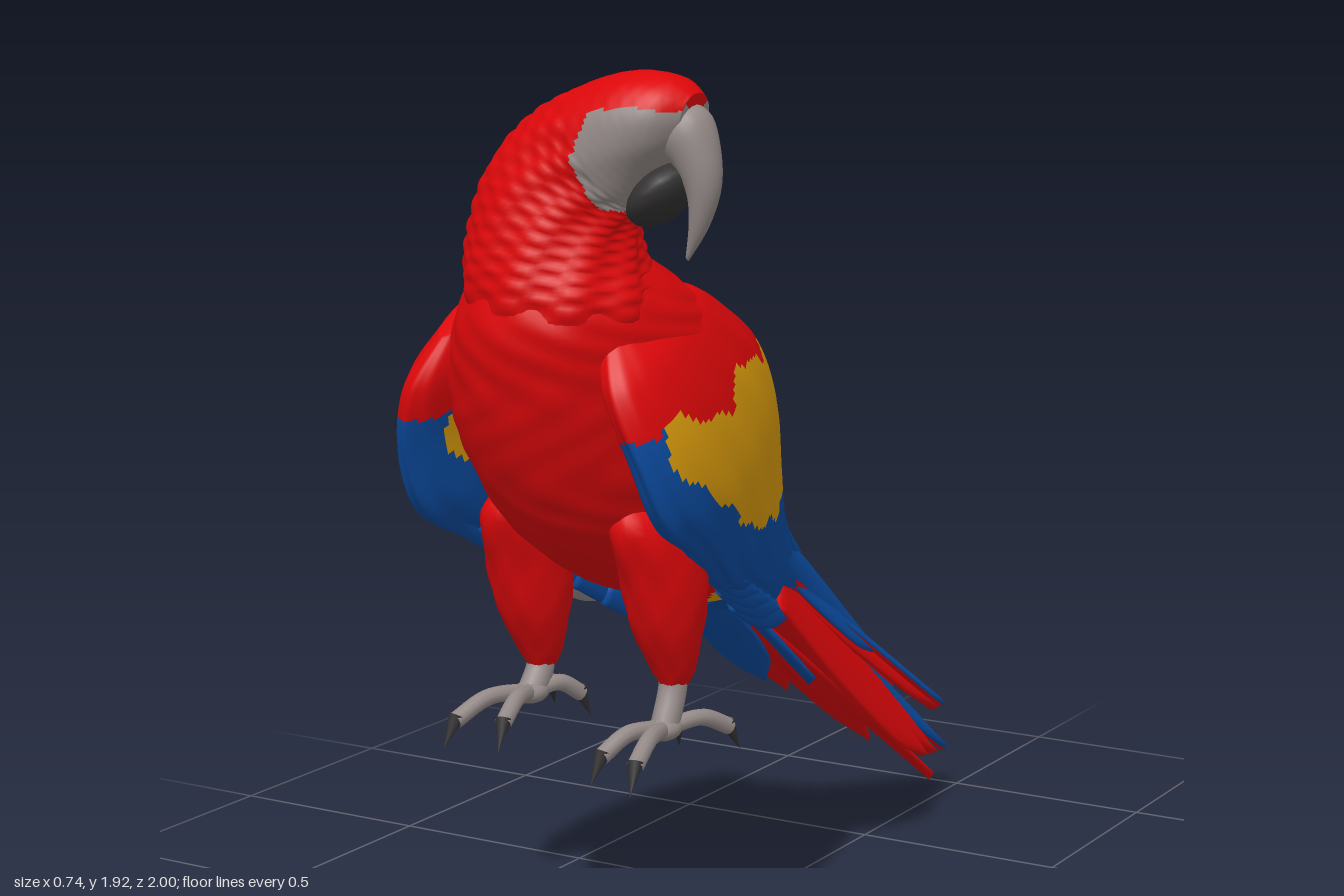
import * as THREE from 'three';

const makeMaterial = (name, color) => Object.assign(new THREE.MeshStandardMaterial({ color }), { name });
const RED = 0, YELLOW = 1, BLUE = 2, GREY = 3, DARK = 4, CRIMSON = 5;

// Smooth wave used for ragged plumage borders
const wave = (a, b) => (Math.sin(a * 37 + b * 23) + Math.sin(a * 19 - b * 41)) / 2;
// Feather colouring with a different upper side and underside
const twoTone = (top, under, reach = 1) => (p, t, q) => (q >= 0.25 && q < 0.75 && t < reach ? top : under);

export function createModel() {
  const mats = [
    makeMaterial('red plumage', 0xdc070a),
    makeMaterial('yellow plumage', 0xd99a0c),
    makeMaterial('blue plumage', 0x0b4b9f),
    makeMaterial('grey skin', 0x948a88),
    makeMaterial('dark horn', 0x343232),
    makeMaterial('crimson feather', 0xb02442),
  ];
  const bird = new THREE.Group();
  bird.name = 'parrot';

  // Loft of elliptical rings. Row: [a1, y1, a2, y2, halfDepth, depthOffset, lean]; the two points
  // span the ring in the zy or xy plane, the depth runs along the remaining axis.
  function loft(name, plane, rows, colour, { rings = 40, sides = 40, bump = () => 0 } = {}) {
    const columns = rows[0].map((_, k) => new THREE.SplineCurve(rows.map((r, i) => new THREE.Vector2(i, r[k]))));
    const pos = [];
    const put = (a, y, d) => (plane === 'zy' ? pos.push(d, y, a) : pos.push(a, y, d));
    const ends = [];
    for (let i = 0; i <= rings; i++) {
      const t = i / rings;
      const [a1, y1, a2, y2, h, o, lean = 0] = columns.map((c) => c.getPoint(t).y);
      for (let j = 0; j < sides; j++) {
        const q = (j / sides) * Math.PI * 2, s = 1 + bump(t, q);
        const c = (Math.cos(q) * s) / 2;
        put((a1 + a2) / 2 + (a1 - a2) * c, (y1 + y2) / 2 + (y1 - y2) * c, o + Math.sin(q) * h * s + lean * 2 * c);
      }
      if (i === 0 || i === rings) ends.push([(a1 + a2) / 2, (y1 + y2) / 2, o]);
    }
    ends.forEach((e) => put(...e));
    const faces = [];
    const last = rings * sides, cap = last + sides;
    for (let j = 0; j < sides; j++) {
      const k = (j + 1) % sides;
      for (let i = 0; i < rings; i++) {
        const p = i * sides, n = p + sides;
        faces.push([p + j, p + k, n + k, n + j]);
      }
      faces.push([cap, k, j], [cap + 1, last + j, last + k]);
    }
    // Signed volume decides which way the faces must turn
    const v = (i) => new THREE.Vector3().fromArray(pos, i * 3);
    let volume = 0;
    const lists = mats.map(() => []);
    for (const f of faces) {
      const pts = f.map(v);
      const mid = pts.reduce((m, p) => m.add(p), new THREE.Vector3()).divideScalar(f.length);
      const list = lists[typeof colour === 'number' ? colour : colour(mid, Math.floor(f[0] / sides) / rings, (f[0] % sides) / sides)];
      for (let i = 1; i + 1 < f.length; i++) {
        volume += pts[0].dot(pts[i].clone().cross(pts[i + 1]));
        list.push([f[0], f[i], f[i + 1]]);
      }
    }
    const geo = new THREE.BufferGeometry();
    geo.setAttribute('position', new THREE.Float32BufferAttribute(pos, 3));
    const index = [], used = [];
    lists.forEach((list, m) => {
      if (!list.length) return;
      geo.addGroup(index.length, list.length * 3, used.length);
      used.push(mats[m]);
      list.forEach(([a, b, c]) => (volume > 0 ? index.push(a, b, c) : index.push(a, c, b)));
    });
    geo.setIndex(index);
    geo.computeVertexNormals();
    const mesh = new THREE.Mesh(geo, used.length > 1 ? used : used[0]);
    mesh.name = name;
    bird.add(mesh);
    return mesh;
  }

  // Tapered blade from base to tip; a positive roll lowers its +x edge
  function feather(name, base, tip, width, roll, colour) {
    const a = new THREE.Vector3(...base), dir = new THREE.Vector3(...tip).sub(a);
    const len = dir.length();
    dir.normalize();
    const flat = new THREE.Vector3(1, 0, 0).addScaledVector(dir, -dir.x).normalize();
    const x = flat.clone().applyAxisAngle(dir, roll), y = dir.clone().cross(x);
    const profile = [0.6, 0.85, 1, 1, 0.92, 0.7, 0.06];
    const rows = profile.map((w, i) => {
      const z = (len * i) / (profile.length - 1);
      return [z, 0.012, z, -0.012, w * width, 0];
    });
    const mesh = loft(name, 'zy', rows, colour, { rings: 20, sides: 12 });
    mesh.geometry.applyMatrix4(new THREE.Matrix4().makeBasis(x, y, dir).setPosition(a));
  }

  // Torso running into the tail core, with the colour bands crossing the back
  const cx = -0.035;
  loft('torso', 'zy', [
    [0.95, 1.53, 0.67, 1.57, 0.15, 0.01], [0.99, 1.42, 0.5, 1.48, 0.22, 0], [0.97, 1.3, 0.38, 1.41, 0.26, -0.02],
    [0.93, 1.18, 0.28, 1.31, 0.275, cx], [0.86, 1.05, 0.18, 1.19, 0.265, cx], [0.76, 0.94, 0.1, 1.06, 0.24, cx],
    [0.58, 0.83, 0.04, 0.95, 0.2, cx], [0.36, 0.76, -0.01, 0.89, 0.165, -0.045], [0.14, 0.69, -0.08, 0.84, 0.135, -0.055],
    [-0.02, 0.63, -0.2, 0.76, 0.11, -0.055], [-0.27, 0.46, -0.4, 0.6, 0.08, -0.045], [-0.5, 0.29, -0.6, 0.43, 0.055, -0.035],
    [-0.66, 0.21, -0.7, 0.3, 0.02, -0.03],
  ], (p, t, q) => {
    if (p.z < -0.05) return p.y < 0.76 + p.z * 0.62 ? RED : BLUE;
    const z = p.z + wave(p.x * 2, p.z) * 0.02;
    const back = q > 0.25 && q < 0.75;
    const edge = back ? 0.32 : 0.29;
    return z > edge ? RED : z > edge - (back ? 0.05 : 0.08) ? YELLOW : BLUE;
  }, {
    rings: 110, sides: 80,
    bump: (t, q) => 0.014 * Math.max(0, 1 - t * 1.4) * Math.sin(q * 11 + 3 * Math.sin(t * 25)) * Math.sin(t * 75),
  });

  // Neck and head turned towards +x, with bare grey cheeks
  loft('head', 'xy', [
    [-0.19, 1.36, 0.2, 1.33, 0.24, 0.73], [-0.19, 1.5, 0.21, 1.45, 0.2, 0.785], [-0.17, 1.61, 0.185, 1.53, 0.17, 0.8],
    [-0.125, 1.73, 0.175, 1.59, 0.145, 0.805], [-0.03, 1.825, 0.185, 1.63, 0.13, 0.8], [0.09, 1.885, 0.2, 1.65, 0.125, 0.8],
    [0.2, 1.91, 0.225, 1.69, 0.118, 0.8], [0.285, 1.9, 0.27, 1.735, 0.095, 0.8], [0.33, 1.87, 0.31, 1.78, 0.05, 0.8],
  ], (p) => {
    const y = p.y + wave(p.x, p.z) * 0.006;
    return p.x > 0.12 + Math.abs(y - 1.75) * 0.35 && y > 1.645 && y < 1.84 ? GREY : RED;
  }, {
    rings: 110, sides: 80,
    bump: (t, q) => (t < 0.6 ? 0.035 : 0.006) * Math.sin(q * 10 + Math.floor(t * 22) * 2.4) * Math.sin(t * 69),
  });

  // Hooked upper beak and broad dark lower beak
  loft('upperBeak', 'xy', [
    [0.29, 1.86, 0.25, 1.74, 0.06, 0.8], [0.345, 1.835, 0.275, 1.735, 0.057, 0.8], [0.37, 1.765, 0.29, 1.715, 0.047, 0.8],
    [0.373, 1.69, 0.308, 1.675, 0.035, 0.8], [0.347, 1.615, 0.31, 1.625, 0.022, 0.8], [0.305, 1.55, 0.3, 1.56, 0.005, 0.8],
  ], GREY, { rings: 24, sides: 24 });
  const ball = (name, mat, x, y, z, sx, sy, sz) => {
    const m = new THREE.Mesh(new THREE.SphereGeometry(1, 20, 14), mats[mat]);
    m.name = name;
    m.position.set(x, y, z);
    m.scale.set(sx, sy, sz);
    bird.add(m);
    return m;
  };
  ball('lowerBeak', DARK, 0.25, 1.675, 0.8, 0.082, 0.045, 0.085).rotation.z = 0.75;

  // Folded wings: red shoulder, yellow coverts, blue flight feathers
  const wingColour = (p) => {
    const n = wave(p.z, p.y) * 0.025, { y, z } = p;
    const top = 1.225 + Math.min(0.085, Math.max(0, 0.6 - z) * 1.2);
    if (y > top + n && z > 0.32) return RED;
    const bottom = 0.95 + Math.max(0, z - 0.47) * 0.52;
    return y > bottom + n && z < 0.84 && z > 0.12 + 0.42 * (y - 1) + n ? YELLOW : BLUE;
  };
  for (const s of [-1, 1]) {
    const side = s > 0 ? 'left' : 'right', drop = s > 0 ? 0 : -0.025;
    loft(side + 'Wing', 'zy', [
      [0.87, 1.4, 0.74, 1.46, 0.03, 0.185, 0.01], [0.92, 1.29, 0.55, 1.47, 0.07, 0.205, 0.035], [0.89, 1.15, 0.42, 1.41, 0.08, 0.23, 0.05],
      [0.82, 1.02, 0.3, 1.33, 0.08, 0.235, 0.055], [0.68, 0.94, 0.2, 1.21, 0.07, 0.22, 0.055], [0.5, 0.84, 0.11, 1.06, 0.06, 0.175, 0.05],
      [0.32, 0.77, 0.03, 0.93, 0.05, 0.125, 0.035], [0.15, 0.71, -0.05, 0.85, 0.04, 0.085, 0.02], [0.02, 0.66, -0.15, 0.77, 0.015, 0.06, 0.01],
    ].map(([a, b, c, d, h, o, l], i) => [a, b + (i < 6 ? drop : 0), c, d, h, cx + s * o, s * l]), wingColour, {
      rings: 110, sides: 100, bump: (t, q) => 0.022 * Math.sin(q * 14 + Math.sin(t * 12)) * (0.3 + t),
    });
    // Flight feathers fringing the lower edge
    for (let i = 0; i < 6; i++) {
      const f = i / 5;
      feather(side + 'FlightFeather', [cx + s * (0.26 - f * 0.1), 1.04 - f * 0.27 + drop, 0.76 - f * 0.42],
        [cx + s * (0.24 - f * 0.15), 0.86 - f * 0.21 + drop, 0.47 - f * 0.48], 0.042, s * 1.4, BLUE);
    }
  }
  feather('wingLining', [-0.25, 0.86, 0.5], [-0.28, 0.7, 0.2], 0.05, -1, GREY);

  // Tail: blue upper feathers and coverts over long red feathers, sloping down to both sides
  const blueTop = twoTone(BLUE, RED);
  [
    [[-0.03, 0.83, 0.03], [0.03, 0.25, -0.84], 0.065, 0.5, blueTop], [[-0.09, 0.82, 0.02], [-0.06, 0.41, -0.56], 0.07, -0.4, blueTop],
    [[0.01, 0.76, 0], [0.03, 0.13, -0.86], 0.045, 0.9, blueTop], [[-0.13, 0.78, 0.04], [-0.14, 0.5, -0.32], 0.05, -0.7, blueTop],
    [[0.03, 0.81, 0.04], [0.04, 0.47, -0.45], 0.045, 0.9, blueTop], [[-0.1, 0.71, 0.12], [-0.1, 0.45, -0.19], 0.06, -0.3, BLUE],
    [[0.01, 0.71, 0.12], [0.03, 0.46, -0.18], 0.055, 0.5, BLUE],
  ].forEach((f) => feather('blueTailFeather', ...f));
  [
    [[-0.05, 0.66, 0], [-0.075, 0.005, -1], 0.055, 0.35, RED], [[-0.1, 0.7, 0], [-0.145, 0.15, -0.79], 0.052, -0.4, twoTone(CRIMSON, RED, 0.62)],
    [[0.06, 0.72, 0.03], [0.09, 0.18, -0.63], 0.07, 1.15, RED], [[0.05, 0.74, 0.02], [0.055, 0.15, -0.75], 0.055, 1.05, RED],
    [[0.04, 0.74, 0], [0.02, 0.24, -0.83], 0.042, 0.9, RED], [[-0.15, 0.75, 0.02], [-0.235, 0.33, -0.53], 0.055, -0.35, twoTone(CRIMSON, RED)],
  ].forEach((f) => feather('redTailFeather', ...f));

  // Feathered thighs, scaly feet with two toes forward and two back
  const up = new THREE.Vector3(0, 1, 0);
  for (const [side, x, foot, s] of [['left', 0.13, 0.555, 1], ['right', -0.2, 0.59, -1]]) {
    loft(side + 'Thigh', 'zy', [
      [0.7, 1.08, 0.58, 1.08, 0.02, x - s * 0.03], [0.77, 1, 0.5, 1, 0.07, x - s * 0.01], [0.73, 0.88, 0.5, 0.87, 0.08, x],
      [0.69, 0.77, 0.52, 0.76, 0.07, x], [0.635, 0.68, 0.535, 0.67, 0.045, x], [0.61, 0.64, 0.55, 0.635, 0.025, x],
    ], RED, { rings: 30, sides: 28, bump: (t, q) => 0.04 * Math.sin(q * 7 + t * 9) * Math.sin(t * 25) });
    const limb = (name, pts, r) => {
      const path = new THREE.CatmullRomCurve3(pts.map((p) => new THREE.Vector3(...p)));
      const m = new THREE.Mesh(new THREE.TubeGeometry(path, 14, r, 10), mats[GREY]);
      m.name = name;
      bird.add(m);
      return path;
    };
    limb(side + 'Shank', [[x, 0.72, 0.585], [x, 0.64, 0.585], [x, foot, 0.62]], 0.03);
    ball(side + 'FootPad', GREY, x, foot, 0.62, 0.035, 0.025, 0.045);
    [[0.055, 0.82], [-0.045, 0.79], [0.06, 0.46], [-0.045, 0.5]].forEach(([dx, z]) => {
      const path = limb(side + 'Toe', [[x, foot, 0.62], [x + s * dx * 0.6, foot + 0.008, 0.62 + (z - 0.62) * 0.55],
        [x + s * dx, foot - 0.025, z]], 0.018);
      // Downward claw
      const dir = path.getTangent(1).add(new THREE.Vector3(0, -1.3, 0)).normalize();
      const claw = new THREE.Mesh(new THREE.ConeGeometry(0.017, 0.075, 10), mats[DARK]);
      claw.name = side + 'Claw';
      claw.quaternion.setFromUnitVectors(up, dir);
      claw.position.copy(path.getPoint(1)).addScaledVector(dir, 0.025);
      bird.add(claw);
    });
  }
  return bird;
}
